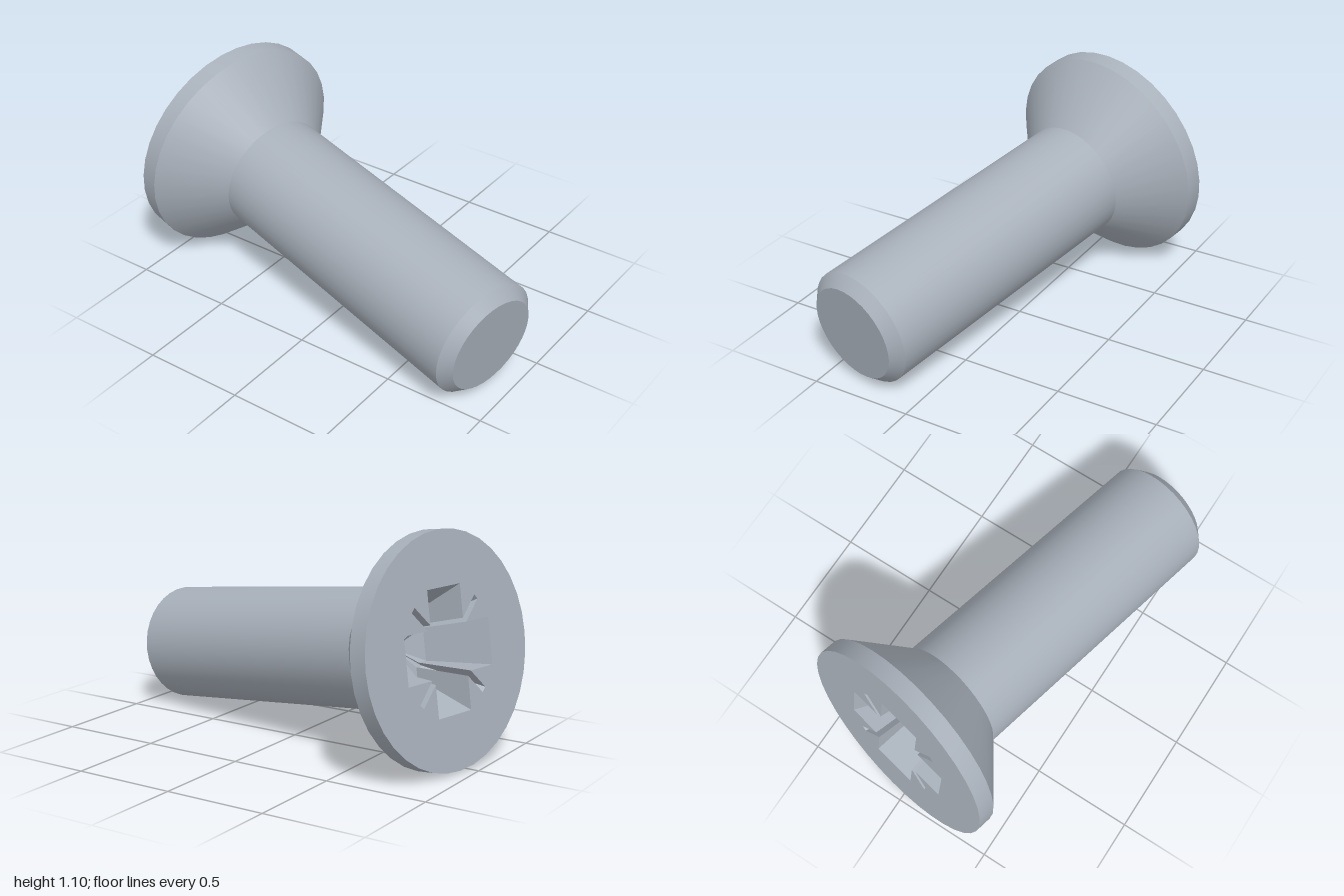
import * as THREE from 'three';
import { toCreasedNormals } from 'three/addons/utils/BufferGeometryUtils.js';

const SEGMENTS = 36;
const HEAD_R = 0.548, SHAFT_R = 0.29, TIP_R = 0.238, LENGTH = 1.866;

// Cross outline with a thin tick between each pair of arms, anticlockwise.
// R: arm reach, w: half arm width, T: tick reach, h: half tick width
function crossRing(R, w, T, h, z) {
  const s = h * Math.SQRT1_2;
  const quarter = [[R, -w], [R, w], [w + 2 * s, w], [T + s, T - s], [T - s, T + s], [w, w + 2 * s]];
  const ring = [];
  for (let k = 0; k < 4; k++) {
    const c = Math.round(Math.cos(k * Math.PI / 2)), n = Math.round(Math.sin(k * Math.PI / 2));
    for (const [x, y] of quarter) ring.push(new THREE.Vector3(c * x - n * y, n * x + c * y, z));
  }
  return ring;
}

export function createModel() {
  const steel = new THREE.MeshStandardMaterial({ color: 0xa8b0ba });
  steel.name = 'steel';
  const model = new THREE.Group();
  model.name = 'countersunkScrew';
  const screw = new THREE.Group();
  screw.name = 'screw';
  model.add(screw);

  const add = (name, geometry) => {
    const mesh = new THREE.Mesh(geometry, steel);
    mesh.name = name;
    screw.add(mesh);
    return mesh;
  };
  // Turned part: [radius, depth behind the head face]
  const turned = (name, profile) => {
    const g = new THREE.LatheGeometry(profile.map(p => new THREE.Vector2(...p)), SEGMENTS);
    g.rotateX(-Math.PI / 2);
    add(name, toCreasedNormals(g, 0.5));
  };

  turned('head', [[HEAD_R, 0], [HEAD_R, 0.088], [SHAFT_R, 0.346]]);
  turned('shaft', [[SHAFT_R, 0.346], [SHAFT_R, 1.813], [TIP_R, LENGTH]]);

  // Flat end of the shaft
  const tip = add('shaftTip', new THREE.CircleGeometry(TIP_R, SEGMENTS));
  tip.rotation.y = Math.PI;
  tip.position.z = -LENGTH;

  // Head face, pierced by the drive recess
  const top = crossRing(0.29, 0.112, 0.215, 0.015, 0);
  const bottom = crossRing(0.15, 0.08, 0.105, 0.013, -0.28);
  const rim = [];
  for (let i = 0; i < SEGMENTS; i++) {
    const a = i / SEGMENTS * Math.PI * 2;
    rim.push(new THREE.Vector2(Math.cos(a) * HEAD_R, Math.sin(a) * HEAD_R));
  }
  const face = new THREE.Shape(rim);
  face.holes.push(new THREE.Path(top.map(p => new THREE.Vector2(p.x, p.y))));
  add('headFace', new THREE.ShapeGeometry(face));

  // Tapered recess walls and pointed floor
  const apex = new THREE.Vector3(0, 0, -0.34);
  const points = [];
  top.forEach((a, i) => {
    const j = (i + 1) % top.length;
    points.push(a, top[j], bottom[i], top[j], bottom[j], bottom[i], bottom[i], bottom[j], apex);
  });
  const recess = new THREE.BufferGeometry().setFromPoints(points);
  recess.computeVertexNormals();
  add('driveRecess', recess);

  // Lean the screw: local z points out of the head face
  const out = new THREE.Vector3(-0.967, 0.1457, -0.2077).normalize();
  const side = new THREE.Vector3(0, 1, 0).cross(out).normalize();
  const up = out.clone().cross(side);
  screw.quaternion.setFromRotationMatrix(new THREE.Matrix4().makeBasis(side, up, out));
  screw.position.set(-0.87, 0.557, -0.0625);
  return model;
}
